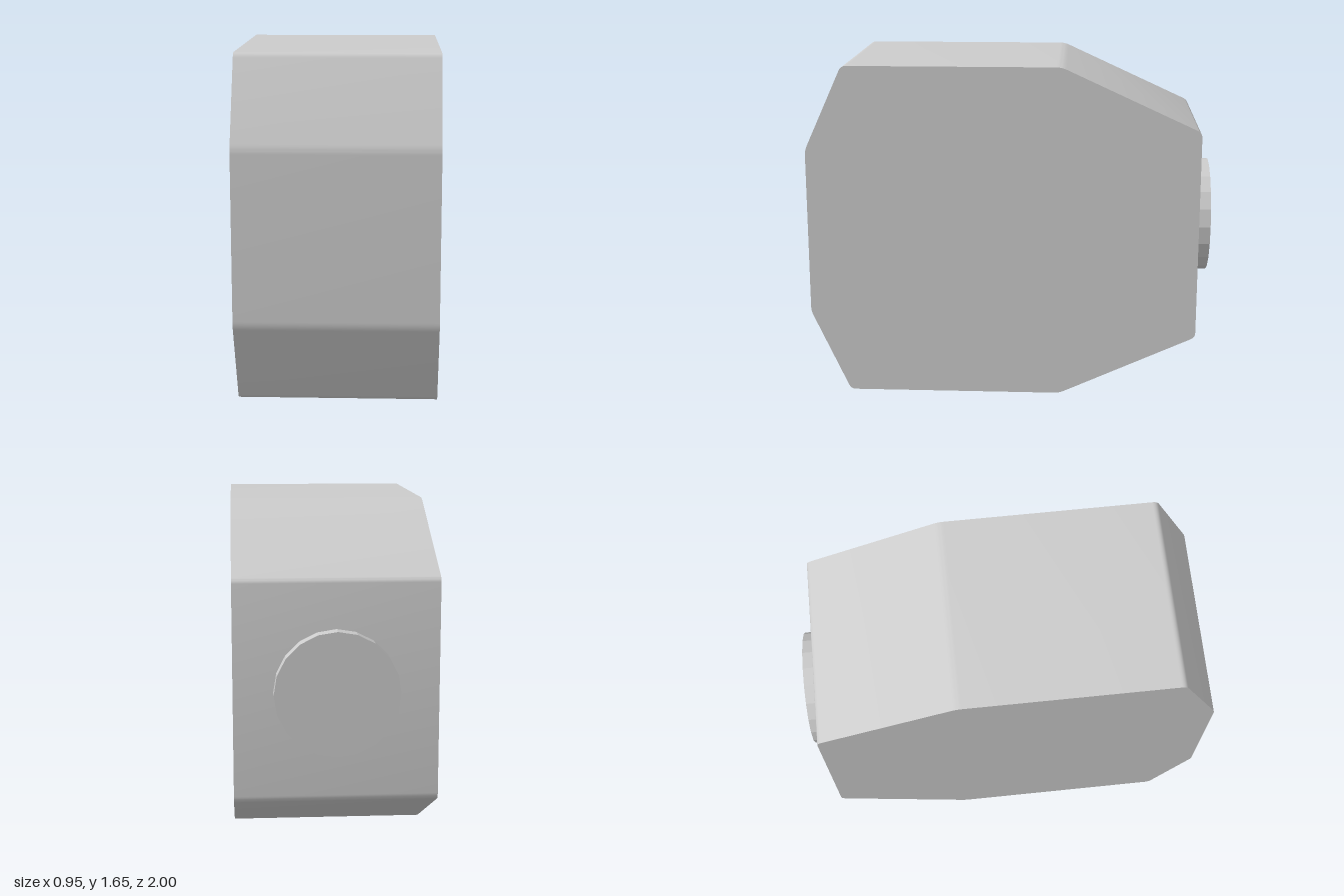
import * as THREE from 'three';
import { toCreasedNormals } from 'three/addons/utils/BufferGeometryUtils.js';

const WIDTH = 0.95;
const HEIGHT = 1.655;

// Closed polygon whose corners are softened by a small curve
function softPolygon(points, cut) {
  const shape = new THREE.Shape();
  const n = points.length;
  points.forEach((p, i) => {
    const prev = points[(i + n - 1) % n];
    const next = points[(i + 1) % n];
    const a = p.clone().add(prev.clone().sub(p).setLength(cut));
    const b = p.clone().add(next.clone().sub(p).setLength(cut));
    if (i === 0) shape.moveTo(a.x, a.y);
    else shape.lineTo(a.x, a.y);
    shape.quadraticCurveTo(p.x, p.y, b.x, b.y);
  });
  shape.closePath();
  return shape;
}

export function createModel() {
  const group = new THREE.Group();
  const material = new THREE.MeshStandardMaterial({ color: 0xcccccc });

  // Body: eight-sided side profile (z, y), mirrored top to bottom
  const upper = [[1, 1.24], [0.81, HEIGHT], [-0.25, HEIGHT], [-0.925, 1.345]];
  const lower = upper.map(([z, y]) => [z, HEIGHT - y]).reverse();
  const profile = [...upper, ...lower].map(([z, y]) => new THREE.Vector2(z, y));
  const bodyGeometry = new THREE.ExtrudeGeometry(softPolygon(profile, 0.025), {
    depth: WIDTH, bevelEnabled: false, curveSegments: 6,
  });
  bodyGeometry.translate(0, 0, -WIDTH / 2);
  bodyGeometry.rotateY(-Math.PI / 2);
  const body = new THREE.Mesh(toCreasedNormals(bodyGeometry, 0.5), material);
  body.name = 'body';
  group.add(body);

  // Round boss on the back face, slightly sunk into the body
  const bossMaterial = material.clone();
  bossMaterial.flatShading = true;
  const bossGeometry = new THREE.CylinderGeometry(0.29, 0.29, 0.085, 20);
  bossGeometry.rotateX(-Math.PI / 2);
  const boss = new THREE.Mesh(bossGeometry, bossMaterial);
  boss.name = 'backBoss';
  boss.position.set(0, HEIGHT / 2, -1 + 0.085 / 2);
  group.add(boss);

  return group;
}
